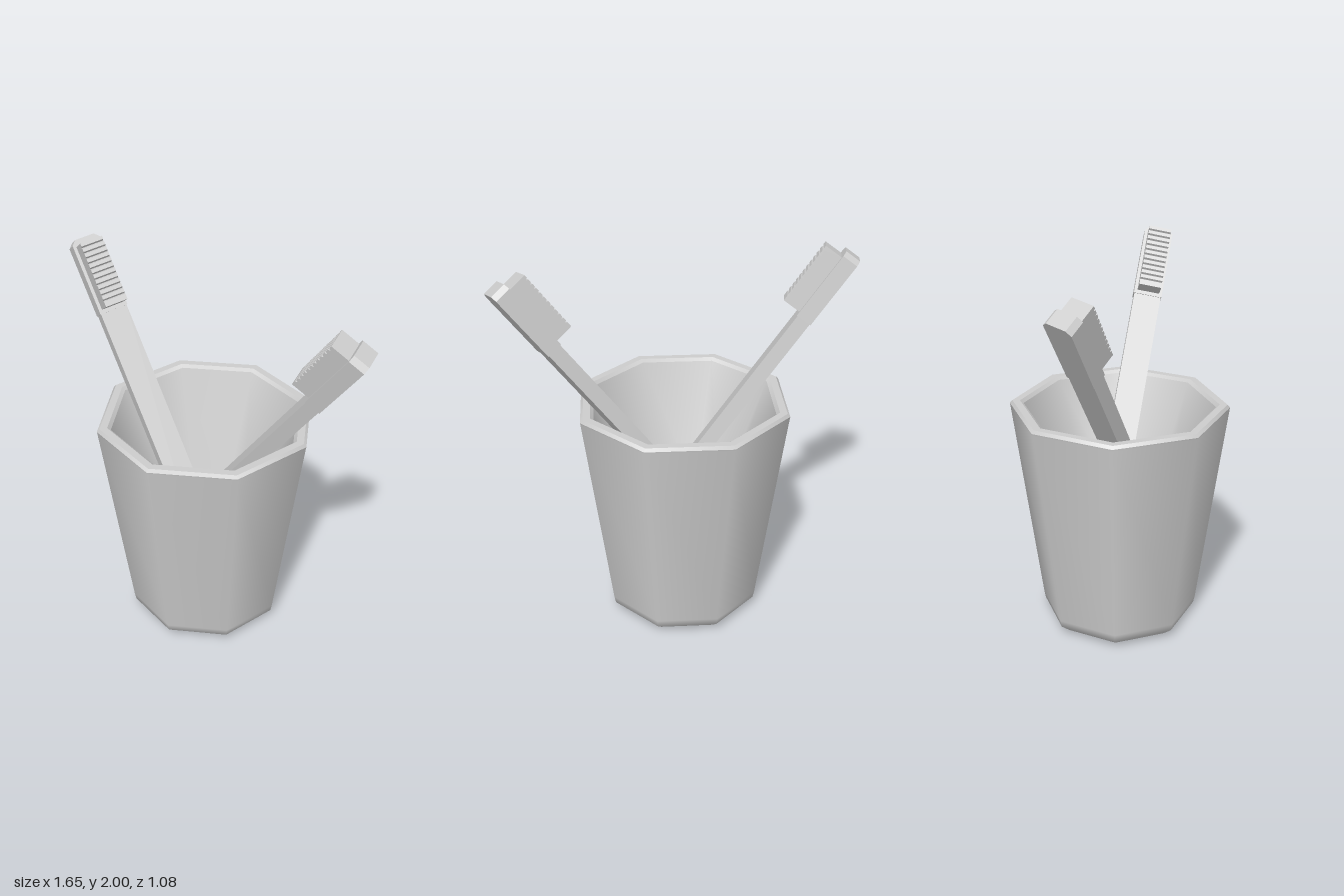
import * as THREE from 'three';

const material = new THREE.MeshStandardMaterial({ color: 0xcccccc });
const flatMaterial = new THREE.MeshStandardMaterial({ color: 0xcccccc, flatShading: true });

function addMesh(parent, name, geometry, mat = flatMaterial) {
  const mesh = new THREE.Mesh(geometry, mat);
  mesh.name = name;
  parent.add(mesh);
  return mesh;
}

// Eight-sided cup: separate smooth bands with sharp edges between them
function createCup() {
  const cup = new THREE.Group();
  cup.name = 'cup';
  const bands = {
    outerWall: [[0, 0], [0.35, 0], [0.362, 0.006], [0.414, 0.05], [0.422, 0.09], [0.57, 1.215], [0.572, 1.225]],
    outerRimBevel: [[0.572, 1.225], [0.558, 1.24]],
    rim: [[0.558, 1.24], [0.518, 1.24]],
    innerRimBevel: [[0.518, 1.24], [0.5, 1.225]],
    innerWall: [[0.5, 1.225], [0.215, 0.555]],
    floor: [[0.215, 0.555], [0, 0.555]],
  };
  for (const [name, points] of Object.entries(bands)) {
    const profile = points.map(([r, y]) => new THREE.Vector2(r, y));
    addMesh(cup, name, new THREE.LatheGeometry(profile, 8), material);
  }
  cup.position.x = -0.02;
  cup.rotation.y = THREE.MathUtils.degToRad(25.7);
  return cup;
}

// Toothbrush along local y, bristles towards local z, origin at the cup's rim height
function createToothbrush() {
  const brush = new THREE.Group();

  // Handle, its foot sunk below the cup floor
  const handleBottom = -0.95, headStart = 0.46, headEnd = 0.862;
  const handleLength = headStart - handleBottom;
  const handle = addMesh(brush, 'handle', new THREE.BoxGeometry(0.148, handleLength, 0.076));
  handle.position.y = handleBottom + handleLength / 2;

  // Head plate with clipped far corners
  const half = 0.078, clip = 0.025, depth = 0.086;
  const plate = new THREE.Shape([
    [-half, headStart], [half, headStart], [half, headEnd - clip],
    [half - clip, headEnd], [clip - half, headEnd], [-half, headEnd - clip],
  ].map(([x, y]) => new THREE.Vector2(x, y)));
  const head = addMesh(brush, 'head', new THREE.ExtrudeGeometry(plate, { depth, bevelEnabled: false }));
  head.position.z = -depth / 2;

  // Bristle block: a toothed side profile extruded across the head
  const start = 0.48, end = 0.825, top = 0.142, teeth = 12, width = 0.122;
  const pitch = (end - start) / teeth;
  const profile = new THREE.Shape();
  profile.moveTo(start, 0.04);
  profile.lineTo(end, 0.04);
  profile.lineTo(end, top);
  for (let i = 0; i < teeth; i++) {
    const s = end - i * pitch;
    profile.lineTo(s - pitch * 0.6, top);
    if (i < teeth - 1) {
      profile.lineTo(s - pitch * 0.8, top - 0.012);
      profile.lineTo(s - pitch, top);
    } else {
      profile.lineTo(start, top);
    }
  }
  const bristles = new THREE.ExtrudeGeometry(profile, { depth: width, bevelEnabled: false });
  bristles.translate(0, 0, -width / 2);
  bristles.applyMatrix4(new THREE.Matrix4().makeBasis(
    new THREE.Vector3(0, 1, 0), new THREE.Vector3(0, 0, 1), new THREE.Vector3(1, 0, 0)));
  addMesh(brush, 'bristles', bristles);
  return brush;
}

// Lean a brush along a direction, bristles facing up, then roll it about its own axis
function placeBrush(name, position, lean, rollDegrees) {
  const brush = createToothbrush();
  brush.name = name;
  const axis = new THREE.Vector3(...lean).normalize();
  const across = new THREE.Vector3(-axis.z, 0, axis.x).normalize();
  const facing = new THREE.Vector3().crossVectors(across, axis);
  brush.quaternion.setFromRotationMatrix(new THREE.Matrix4().makeBasis(across, axis, facing));
  brush.rotateY(THREE.MathUtils.degToRad(rollDegrees));
  brush.position.set(...position);
  return brush;
}

export function createModel() {
  const model = new THREE.Group();
  model.name = 'toothbrushCup';
  model.add(
    createCup(),
    placeBrush('rightToothbrush', [-0.378, 1.24, -0.15], [-0.546, 1, -0.45], -15),
    placeBrush('leftToothbrush', [0.343, 1.24, 0.181], [0.62, 1, 0.4], 19),
  );
  return model;
}
